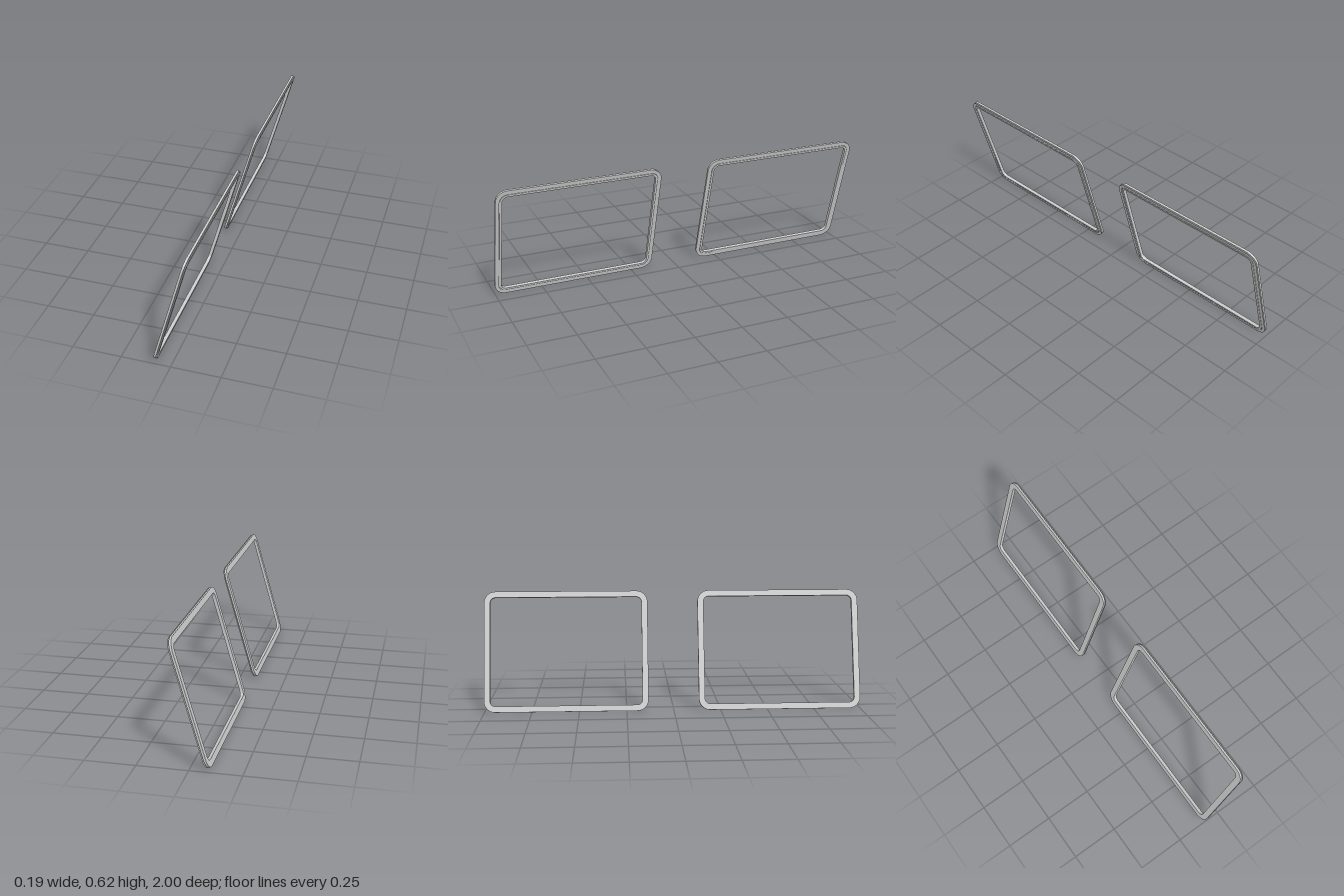
import * as THREE from 'three';
import { toCreasedNormals } from 'three/addons/utils/BufferGeometryUtils.js';

const LENGTH = 0.866, HEIGHT = 0.641, RADIUS = 0.06;
const THICK = 0.0175, BAND = 0.0115, TILT = 0.276;

// Rounded rectangle, inset from the outer edge of the frame
function outline(path, inset) {
  const w = LENGTH / 2 - inset, h = HEIGHT / 2 - inset, r = RADIUS - inset;
  path.absarc(w - r, h - r, r, 0, Math.PI / 2);
  path.absarc(-w + r, h - r, r, Math.PI / 2, Math.PI);
  path.absarc(-w + r, -h + r, r, Math.PI, Math.PI * 1.5);
  path.absarc(w - r, -h + r, r, Math.PI * 1.5, Math.PI * 2);
  path.closePath();
  return path;
}

// Flat ring lying between two insets
function ring(outer, inner) {
  const shape = outline(new THREE.Shape(), outer);
  shape.holes.push(outline(new THREE.Path(), inner));
  return shape;
}

function solidRing(outer, inner, from, to) {
  const geo = new THREE.ExtrudeGeometry(ring(outer, inner), {
    depth: to - from, bevelEnabled: false, curveSegments: 8,
  });
  geo.translate(0, 0, from - THICK / 2);
  return toCreasedNormals(geo, 0.6);
}

export function createModel() {
  const model = new THREE.Group();
  model.name = 'windowSeals';
  const material = new THREE.MeshStandardMaterial({ color: 0xcccccc });
  const thin = new THREE.MeshStandardMaterial({ color: 0xcccccc, side: THREE.DoubleSide });

  // Main band, raised inner rim, and the thin lip over the outer groove
  const lipGeo = new THREE.ShapeGeometry(ring(0, 0.018), 8);
  lipGeo.translate(0, 0, THICK / 2);
  const parts = [
    ['mainBand', solidRing(0, 0.032, 0, BAND), material],
    ['innerRim', solidRing(0.02, 0.032, BAND, THICK), material],
    ['outerLip', lipGeo, thin],
  ];

  for (const side of [1, -1]) {
    const frame = new THREE.Group();
    frame.name = side > 0 ? 'frontFrame' : 'rearFrame';
    for (const [name, geo, mat] of parts) {
      const mesh = new THREE.Mesh(geo, mat);
      mesh.name = name;
      mesh.rotation.y = Math.PI / 2;
      frame.add(mesh);
    }
    frame.rotation.z = -TILT;
    frame.position.set(0, 0.311, side * (1 - LENGTH / 2));
    model.add(frame);
  }
  return model;
}
